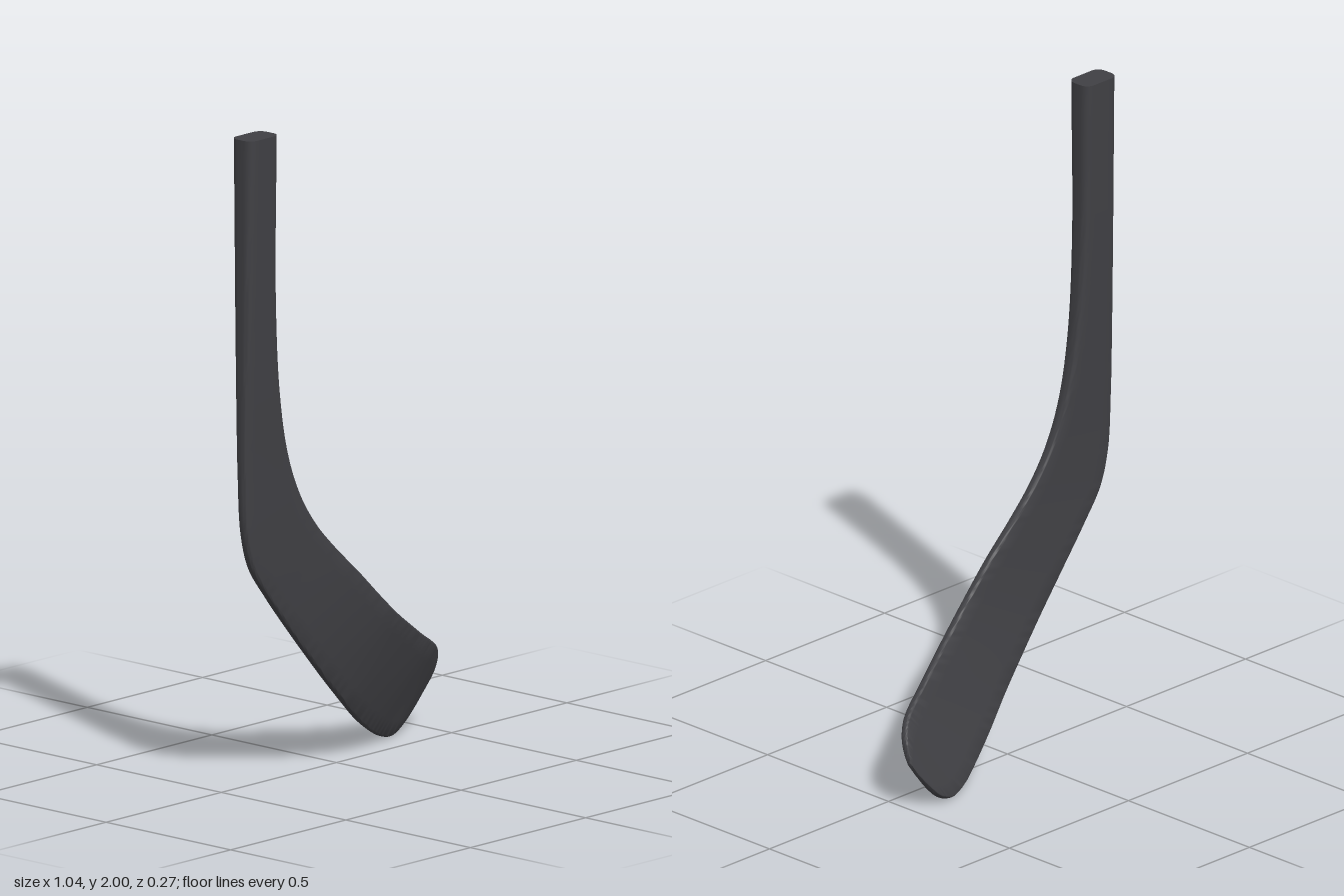
import * as THREE from 'three';
import { toCreasedNormals } from 'three/addons/utils/BufferGeometryUtils.js';

// Stations from shaft top to toe: outer/lower edge xyz, inner/upper edge xyz, thickness
const STATIONS = [
  [-.52, 2, .095, -.39, 2, .095, .083],
  [-.52, 1.5, .095, -.388, 1.5, .095, .066],
  [-.52, 1.2, .095, -.365, 1.2, .095, .052],
  [-.518, .98, .095, -.325, 1.01, .095, .041],
  [-.508, .8, .095, -.27, .88, .095, .034],
  [-.475, .69, .093, -.2, .78, .094, .03],
  [-.4, .59, .088, -.115, .695, .091, .028],
  [-.3, .475, .08, 0, .595, .085, .027],
  [-.2, .37, .067, .1, .508, .073, .026],
  [-.1, .275, .046, .2, .43, .053, .026],
  [0, .19, .018, .29, .373, .026, .025],
  [.1, .115, -.02, .37, .325, -.001, .024],
  [.2, .055, -.06, .425, .295, -.02, .024],
  [.28, .018, -.092, .462, .273, -.036, .023],
  [.35, .003, -.112, .49, .25, -.055, .022],
  [.41, .025, -.123, .508, .222, -.072, .021],
  [.455, .067, -.12, .515, .185, -.088, .018],
  [.49, .113, -.11, .515, .155, -.1, .012],
];
const STEPS = 110, ARC = 5, FLAT = 6;

const curve = (pick) => new THREE.CatmullRomCurve3(STATIONS.map((s, i) => new THREE.Vector3(...pick(s, i))));

// Rounded rectangle outline, counterclockwise, as [across, through] offsets
function outline(width, thick) {
  const r = Math.min(thick * .33, width * .4);
  const w = width / 2 - r, h = thick / 2 - r;
  const points = [];
  [[1, 1], [-1, 1], [-1, -1], [1, -1]].forEach(([sx, sy], corner) => {
    for (let k = 0; k <= ARC; k++) {
      const a = (corner + k / ARC) * Math.PI / 2;
      points.push([sx * w + r * Math.cos(a), sy * h + r * Math.sin(a)]);
    }
    // Extra points along the two broad faces
    if (corner % 2 === 0) {
      for (let k = 1; k < FLAT; k++) points.push([sx * w * (1 - 2 * k / FLAT), sy * (h + r)]);
    }
  });
  return points;
}

// Loft the outline between the two edge curves
function stickGeometry() {
  const outer = curve(s => s.slice(0, 3));
  const inner = curve(s => s.slice(3, 6));
  const thickness = curve((s, i) => [s[6], i, 0]);
  const middle = u => outer.getPoint(u).add(inner.getPoint(u)).multiplyScalar(.5);
  const positions = [], index = [];
  let n = 0;

  for (let i = 0; i <= STEPS; i++) {
    const u = i / STEPS;
    const center = middle(u);
    const across = inner.getPoint(u).sub(outer.getPoint(u));
    const width = across.length();
    across.normalize();
    const along = middle(Math.min(1, u + .005)).sub(middle(Math.max(0, u - .005)));
    const through = along.cross(across).normalize();
    const ring = outline(width, thickness.getPoint(u).x);
    n = ring.length;
    for (const [a, b] of ring) {
      const p = center.clone().addScaledVector(across, a).addScaledVector(through, b);
      positions.push(p.x, p.y, p.z);
    }
  }
  // Side walls
  for (let i = 0; i < STEPS; i++) {
    for (let j = 0; j < n; j++) {
      const a = i * n + j, b = i * n + (j + 1) % n;
      index.push(a, b, b + n, a, b + n, a + n);
    }
  }
  // Flat shaft top and toe tip
  const top = positions.length / 3, tip = top + 1, last = STEPS * n;
  for (const u of [0, 1]) positions.push(...middle(u).toArray());
  for (let j = 0; j < n; j++) {
    const k = (j + 1) % n;
    index.push(top, k, j, tip, last + j, last + k);
  }
  const geometry = new THREE.BufferGeometry();
  geometry.setAttribute('position', new THREE.Float32BufferAttribute(positions, 3));
  geometry.setIndex(index);
  return toCreasedNormals(geometry, .7);
}

export function createModel() {
  const group = new THREE.Group();
  group.name = 'hockeyStickBlade';
  const blade = new THREE.Mesh(stickGeometry(), new THREE.MeshStandardMaterial({ color: 0x404044 }));
  blade.name = 'shaftAndBlade';
  group.add(blade);
  return group;
}
